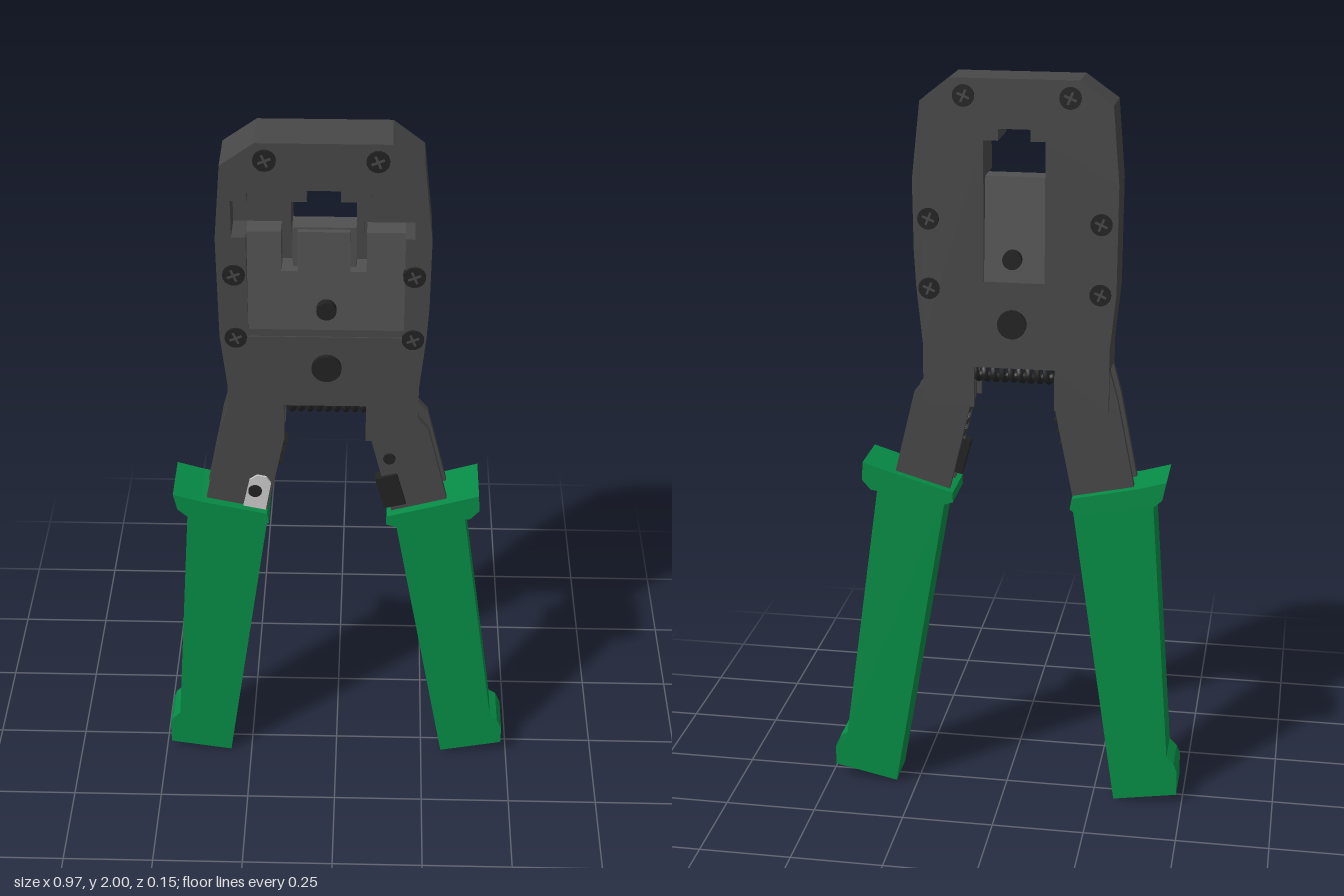
import * as THREE from 'three';

const mat = (color) => new THREE.MeshStandardMaterial({ color });

export function createModel() {
  const group = new THREE.Group();
  const body = mat(0x474747), die = mat(0x505050), dark = mat(0x222222), steel = mat(0xcccccc), green = mat(0x068c45);

  const add = (name, geometry, material) => {
    const mesh = new THREE.Mesh(geometry, material);
    mesh.name = name;
    group.add(mesh);
    return mesh;
  };
  const vec = (pts) => pts.map(([x, y]) => new THREE.Vector2(x, y));
  // Outline in x/y extruded between two depths; holes are wound against the outline
  const slab = (pts, z0, z1, hole) => {
    const outer = vec(pts);
    if (THREE.ShapeUtils.isClockWise(outer)) outer.reverse();
    const shape = new THREE.Shape(outer);
    if (hole) {
      const inner = vec(hole);
      if (!THREE.ShapeUtils.isClockWise(inner)) inner.reverse();
      shape.holes.push(new THREE.Path(inner));
    }
    return new THREE.ExtrudeGeometry(shape, { depth: z1 - z0, bevelEnabled: false }).translate(0, 0, z0);
  };
  const box = (name, w, h, d, x, y, z, material, angle) => {
    const mesh = add(name, new THREE.BoxGeometry(w, h, d), material);
    mesh.position.set(x, y, z);
    mesh.rotation.z = angle;
  };
  const disc = (name, r, x, y, z0, z1, material) => {
    const mesh = add(name, new THREE.CylinderGeometry(r, r, Math.abs(z1 - z0), 24), material);
    mesh.rotation.x = Math.PI / 2;
    mesh.position.set(x, y, (z0 + z1) / 2);
  };

  // Head: two layers, with die pockets in front and a central window right through
  const outline = [[-0.278, 1.25], [-0.278, 1.31], [-0.293, 1.46], [-0.295, 1.74], [-0.278, 1.94], [-0.193, 2],
    [0.135, 2], [0.212, 1.94], [0.234, 1.74], [0.232, 1.55], [0.227, 1.46], [0.212, 1.31], [0.212, 1.25]];
  const window_ = [[-0.108, 1.75], [-0.108, 1.845], [-0.07, 1.845], [-0.07, 1.875],
    [0.012, 1.875], [0.012, 1.845], [0.05, 1.845], [0.05, 1.75]];
  const frontPocket = [[-0.22, 1.46], [-0.22, 1.745], [-0.255, 1.745], [-0.255, 1.845], [-0.215, 1.845],
    [-0.215, 1.868], [-0.145, 1.868], [-0.145, 1.845], [-0.128, 1.845], [-0.128, 1.75],
    ...window_, [0.068, 1.75], [0.068, 1.845], [0.084, 1.845], [0.084, 1.868], [0.154, 1.868],
    [0.154, 1.845], [0.193, 1.845], [0.193, 1.745], [0.17, 1.745], [0.17, 1.46]];
  const backPocket = [[-0.108, 1.48], ...window_.slice(1, 7), [0.05, 1.48]];
  add('headFront', slab(outline, -0.02, 0.063, frontPocket), body);
  add('headBack', slab(outline, -0.065, -0.02, backPocket), body);

  // Sloping die blocks that sink towards the top
  const dieBlock = (name, pts, top) => {
    const g = slab(pts, -0.019, 1);
    const p = g.attributes.position;
    for (let i = 0; i < p.count; i++) {
      if (p.getZ(i) > 0.5) {
        const t = THREE.MathUtils.clamp((p.getY(i) - 1.48) / 0.27, 0, 1);
        p.setZ(i, THREE.MathUtils.lerp(0.06, top, t));
      }
    }
    g.computeVertexNormals();
    return add(name, g, die);
  };
  dieBlock('frontDies', [[-0.22, 1.48], [0.17, 1.48], [0.17, 1.745], [0.075, 1.745], [0.075, 1.64], [0.035, 1.64],
    [0.035, 1.745], [-0.095, 1.745], [-0.095, 1.64], [-0.135, 1.64], [-0.135, 1.745], [-0.22, 1.745]], 0.032);
  add('frontDieSill', slab([[-0.22, 1.46], [0.17, 1.46], [0.17, 1.48], [-0.22, 1.48]], -0.019, 0.06), body);
  dieBlock('backDie', [[-0.05, 1.48], [0.108, 1.48], [0.108, 1.75], [-0.05, 1.75]], 0.035).rotation.y = Math.PI;

  // Thin cheeks over the tops of the arms
  for (const [z0, z1] of [[0.051, 0.063], [-0.065, -0.051]]) {
    add('leftCheek', slab([[0.077, 1.14], [0.212, 1.14], [0.212, 1.25], [0.077, 1.25]], z0, z1), body);
    add('rightCheek', slab([[-0.278, 1.14], [-0.135, 1.14], [-0.135, 1.25], [-0.278, 1.25]], z0, z1), body);
  }

  // Cross-head screws and pivot pins on both faces
  for (const s of [1, -1]) {
    for (const [x, y] of [[-0.17, 1.956], [0.1, 1.956], [-0.252, 1.64], [0.193, 1.64], [-0.252, 1.457], [0.193, 1.457]]) {
      disc('screw', 0.028, x, y, s * 0.05, s * 0.069, dark);
      for (const a of [0, Math.PI / 2]) box('screwSlot', 0.034, 0.006, 0.003, x, y, s * 0.069, body, a + 0.4);
    }
    disc('diePin', 0.025, -0.024, 1.54, s * 0.03, s * 0.071, dark);
    disc('pivotPin', 0.038, -0.024, 1.37, s * 0.05, s * 0.075, dark);
  }

  // Arms: paired side plates joined by a short web near the head
  const arms = {
    right: [[-0.278, 1.25], [-0.3, 1.17], [-0.35, 0.92], [-0.19, 0.87], [-0.135, 1.14], [-0.135, 1.25]],
    left: [[0.205, 1.25], [0.215, 1.2], [0.24, 1.17], [0.298, 0.93], [0.155, 0.87], [0.09, 1.14], [0.09, 1.25]],
  };
  for (const side in arms) {
    add(side + 'ArmFront', slab(arms[side], 0.03, 0.05), body);
    add(side + 'ArmBack', slab(arms[side], -0.05, -0.03), body);
  }
  add('rightArmWeb', slab([[-0.25, 1.25], [-0.27, 1.07], [-0.2, 1.07], [-0.165, 1.25]], -0.03, 0.03), dark);
  add('leftArmWeb', slab([[0.12, 1.25], [0.145, 1.07], [0.215, 1.07], [0.18, 1.25]], -0.03, 0.03), dark);

  // Return spring between the arms
  const coils = 9, points = [];
  for (let i = 0; i <= coils * 12; i++) {
    const a = (i / 12) * Math.PI * 2;
    points.push(new THREE.Vector3(-0.125 + (0.21 * i) / (coils * 12), 1.217 + 0.018 * Math.cos(a), 0.018 * Math.sin(a)));
  }
  add('spring', new THREE.TubeGeometry(new THREE.CatmullRomCurve3(points), coils * 16, 0.008, 6), dark);

  // Catch and cutter plate at the inner edges of the arms
  add('catch', slab([[-0.25, 0.91], [-0.23, 1], [-0.21, 1.015], [-0.185, 1.01], [-0.173, 0.99], [-0.19, 0.895]], -0.02, 0.056), steel);
  disc('catchScrew', 0.018, -0.216, 0.966, 0.04, 0.062, dark);
  box('cutterPlate', 0.06, 0.1, 0.03, 0.145, 0.97, 0.043, dark, 0.26);
  disc('cutterScrew', 0.016, 0.14, 1.075, 0.04, 0.056, dark);

  // Stripping blades: a steel strip with pointed teeth on each arm
  box('rightBladeStrip', 0.04, 0.08, 0.03, -0.172, 1.065, 0, steel, -0.22);
  box('leftBladeStrip', 0.04, 0.08, 0.03, 0.13, 1.075, 0, steel, 0.26);
  for (let i = 0; i < 3; i++) {
    const rx = -0.17 - i * 0.007, ry = 1.1 - i * 0.033;
    add('rightBladeTooth', slab([[rx, ry + 0.013], [rx, ry - 0.013], [rx + 0.042, ry]], -0.025, 0.025), dark);
    const lx = 0.13 + i * 0.007, ly = 1.11 - i * 0.033;
    add('leftBladeTooth', slab([[lx, ly + 0.013], [lx - 0.035, ly], [lx, ly - 0.013]], -0.025, 0.025), dark);
  }

  // Grips with flared collars and a heel bump at the outer end
  add('rightGrip', slab([[-0.4, 0.89], [-0.455, 0.145], [-0.475, 0.125], [-0.485, 0.1], [-0.485, 0.03],
    [-0.31, 0.002], [-0.185, 0.87]], -0.054, 0.06), green);
  add('leftGrip', slab([[0.345, 0.89], [0.448, 0.147], [0.468, 0.135], [0.483, 0.1], [0.483, 0.045],
    [0.308, 0.008], [0.16, 0.865]], -0.058, 0.056), green);
  add('rightCollar', slab([[-0.435, 0.96], [-0.425, 0.91], [-0.4, 0.887], [-0.2, 0.855], [-0.18, 0.87],
    [-0.185, 0.9], [-0.36, 0.938]], -0.073, 0.073), green);
  add('leftCollar', slab([[0.38, 0.97], [0.383, 0.92], [0.36, 0.893], [0.16, 0.862], [0.135, 0.87],
    [0.135, 0.897], [0.3, 0.945]], -0.073, 0.073), green);

  return group;
}
